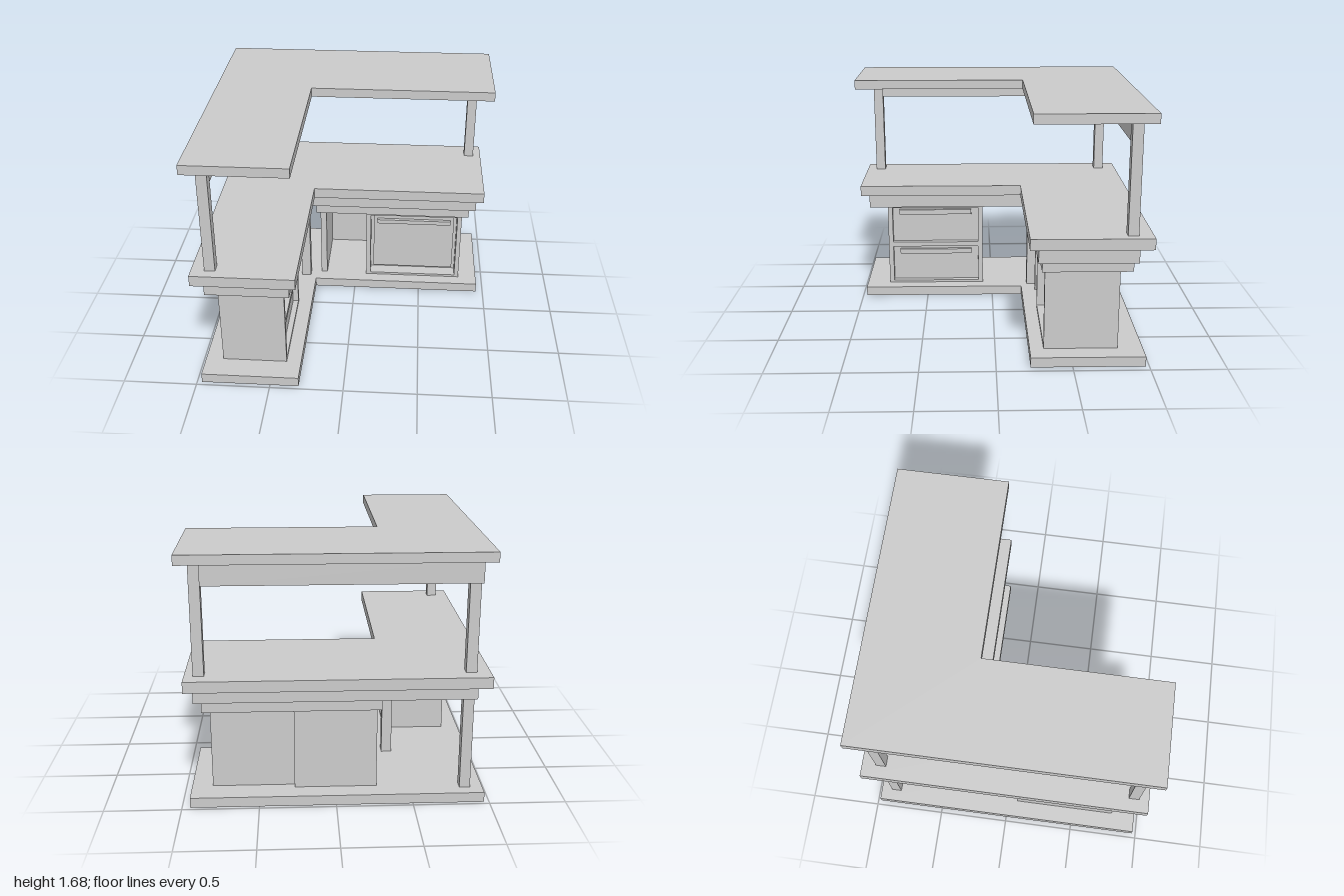
import * as THREE from 'three';

const material = new THREE.MeshStandardMaterial({ color: 0xcccccc, flatShading: true });

function add(parent, name, geometry) {
  const mesh = new THREE.Mesh(geometry, material);
  mesh.name = name;
  parent.add(mesh);
  return mesh;
}

// Box given by its limits on each axis
function block(parent, name, [x0, x1], [y0, y1], [z0, z1]) {
  const mesh = add(parent, name, new THREE.BoxGeometry(x1 - x0, y1 - y0, z1 - z0));
  mesh.position.set((x0 + x1) / 2, (y0 + y1) / 2, (z0 + z1) / 2);
}

// L-shaped slab: outer limits plus the inner corner (ix, iz)
function cornerSlab(parent, name, [x0, x1], [y0, y1], [z0, z1], ix, iz) {
  const outline = [[x0, z1], [ix, z1], [ix, iz], [x1, iz], [x1, z0], [x0, z0]];
  const shape = new THREE.Shape(outline.map(([x, z]) => new THREE.Vector2(x, -z)));
  const geometry = new THREE.ExtrudeGeometry(shape, { depth: y1 - y0, bevelEnabled: false });
  geometry.rotateX(-Math.PI / 2);
  add(parent, name, geometry).position.y = y0;
}

function rectangle(Type, w, y0, y1) {
  return new Type([[-w / 2, y0], [w / 2, y0], [w / 2, y1], [-w / 2, y1]].map(([x, y]) => new THREE.Vector2(x, y)));
}

// Cabinet facing +z with its front face at z = 0; openings are sunk into the front
function cabinet(name, width, [y0, y1], depth, recess, openings) {
  const group = new THREE.Group();
  group.name = name;
  block(group, 'cabinetBody', [-width / 2, width / 2], [y0, y1], [-depth, -recess]);
  const face = rectangle(THREE.Shape, width, y0, y1);
  for (const o of openings) face.holes.push(rectangle(THREE.Path, o.width, ...o.y));
  const frame = new THREE.ExtrudeGeometry(face, { depth: recess, bevelEnabled: false });
  add(group, 'cabinetFrame', frame).position.z = -recess;
  for (const o of openings) {
    const front = -recess + (o.raise || 0);
    if (o.raise) {
      const w = o.width / 2 - 0.021;
      block(group, 'doorPanel', [-w, w], [o.y[0] + 0.018, o.y[1] - 0.022], [-recess, front]);
    }
    block(group, 'handle', [-o.handleWidth / 2, o.handleWidth / 2], o.handleY, [front, front + 0.025]);
  }
  return group;
}

export function createModel() {
  const model = new THREE.Group();
  model.name = 'cornerCounter';

  // Stacked L-shaped levels
  cornerSlab(model, 'base', [-0.967, 0.947], [0, 0.068], [-0.977, 0.972], -0.305, -0.225);
  cornerSlab(model, 'counterApron', [-0.905, 0.905], [0.7, 0.805], [-0.913, 0.93], -0.35, -0.27);
  cornerSlab(model, 'countertop', [-0.98, 0.955], [0.805, 0.88], [-1, 0.988], -0.3, -0.212);
  cornerSlab(model, 'canopy', [-0.975, 0.975], [1.613, 1.677], [-0.985, 1], -0.305, -0.222);

  // Lower step under the right wing
  block(model, 'lowerApron', [-0.297, 0.857], [0.625, 0.7], [-0.887, -0.297]);

  // Legs at the outer and inner corners
  block(model, 'cornerLeg', [-0.885, -0.815], [0.068, 0.7], [-0.897, -0.827]);
  block(model, 'innerLeg', [-0.42, -0.35], [0.068, 0.7], [-0.34, -0.27]);

  // Canopy posts: back corner and the end of each wing
  for (const [x, z] of [[-0.857, -0.867], [-0.857, 0.884], [0.863, -0.867]]) {
    block(model, 'canopyPost', [x - 0.035, x + 0.035], [0.88, 1.613], [z - 0.035, z + 0.035]);
  }

  // Beams under the canopy
  block(model, 'backBeam', [-0.905, 0.83], [1.465, 1.613], [-0.913, -0.843]);
  block(model, 'sideBeam', [-0.905, -0.835], [1.465, 1.613], [-0.843, 0.85]);

  // Drawer cabinet in the front wing, facing the inner corner
  const drawers = cabinet('drawerCabinet', 0.728, [0.068, 0.7], 0.442, 0.04, [
    { width: 0.658, y: [0.4, 0.677], handleWidth: 0.553, handleY: [0.62, 0.657] },
    { width: 0.658, y: [0.085, 0.365], handleWidth: 0.553, handleY: [0.3, 0.337] },
  ]);
  drawers.rotation.y = Math.PI / 2;
  drawers.position.set(-0.405, 0, 0.436);
  model.add(drawers);

  // Door cabinet in the right wing
  const door = cabinet('doorCabinet', 0.725, [0.068, 0.625], 0.492, 0.1, [
    { width: 0.66, y: [0.085, 0.605], raise: 0.02, handleWidth: 0.565, handleY: [0.503, 0.535] },
  ]);
  door.position.set(0.4475, 0, -0.318);
  model.add(door);

  // Open cubby beside the door cabinet
  block(model, 'cubbySide', [-0.27, -0.225], [0.068, 0.625], [-0.81, -0.327]);
  block(model, 'cubbyBack', [-0.27, 0.27], [0.068, 0.625], [-0.85, -0.81]);

  return model;
}
